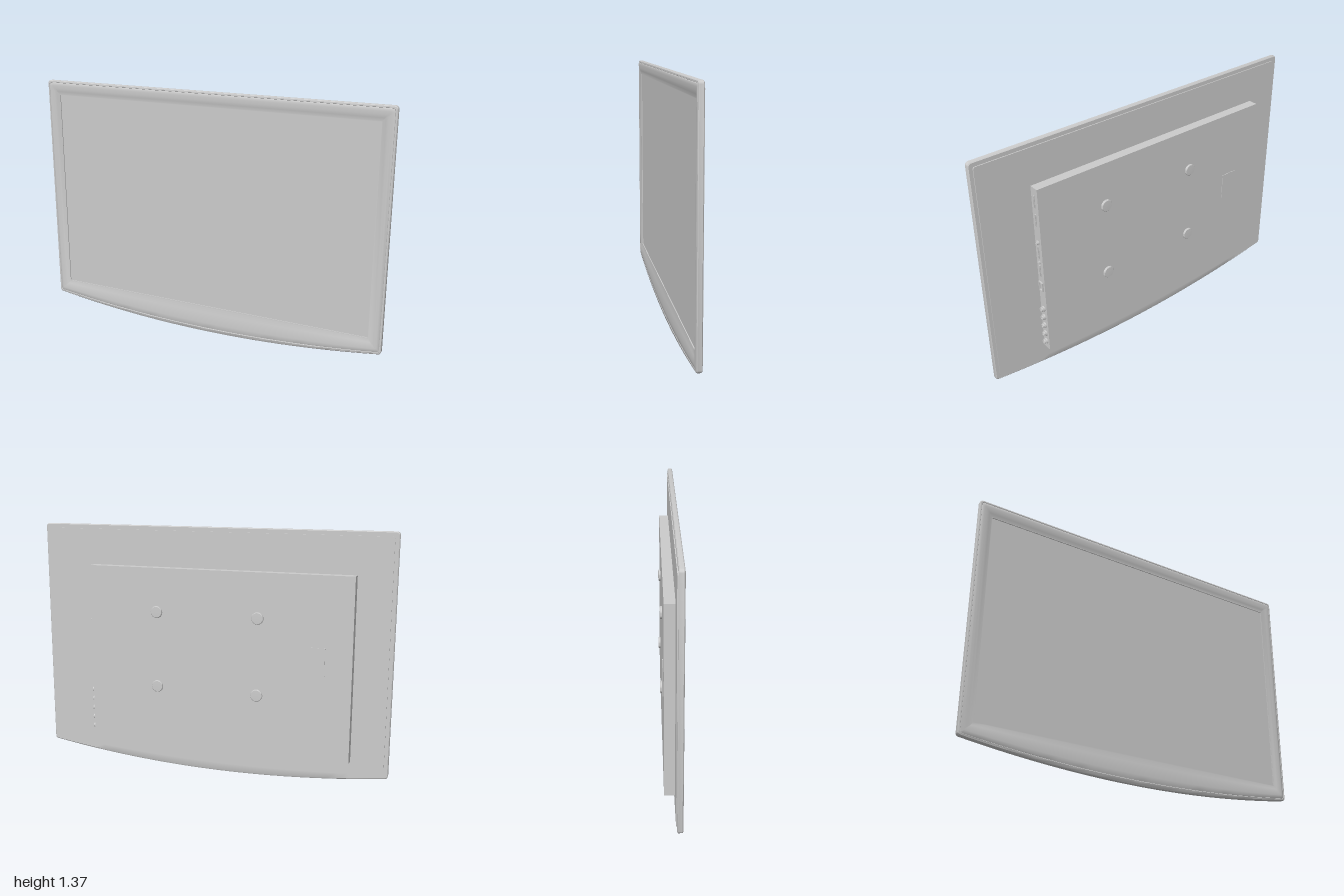
import * as THREE from 'three';
import { toCreasedNormals } from 'three/addons/utils/BufferGeometryUtils.js';

const grey = new THREE.MeshStandardMaterial({ color: 0xcccccc });

function add(parent, name, geometry, x = 0, y = 0, z = 0) {
  const mesh = new THREE.Mesh(geometry, grey);
  mesh.name = name;
  mesh.position.set(x, y, z);
  parent.add(mesh);
  return mesh;
}

// Pairs of matching points on the outer outline (bowed bottom) and the screen opening
function bezelOutline() {
  const pairs = [], r = 0.016, n = 32;
  const corner = (cx, cy, start, ix, iy) => {
    for (let i = 0; i <= 3; i++) {
      const a = start + (i / 3) * Math.PI / 2;
      pairs.push([cx + r * Math.cos(a), cy + r * Math.sin(a), ix, iy]);
    }
  };
  const L = 1 - r, low = 0.072;
  corner(-L, low + r, Math.PI, -0.925, 0.153);
  for (let i = 1; i < n; i++) {
    const u = -1 + (2 * i) / n;
    pairs.push([u * L, low * u * u, u * 0.925, 0.153]);
  }
  corner(L, low + r, -Math.PI / 2, 0.925, 0.153);
  corner(L, 1.372 - r, 0, 0.925, 1.29);
  corner(-L, 1.372 - r, Math.PI / 2, -0.925, 1.29);
  return pairs;
}

// Loft of rings: t runs from the outer edge (0) to the opening (1)
function bezelGeometry() {
  const profile = [
    [1, 0.015], [0.3, 0.015], [0.3, 0.02], [0.05, 0.02], [0, 0.024],
    [0, 0.044], [0.04, 0.048], [0.13, 0.049], [0.15, 0.047], [0.18, 0.049],
    [0.35, 0.05], [0.55, 0.049], [0.75, 0.046], [0.95, 0.041], [1, 0.041], [1, 0.034],
  ];
  const outline = bezelOutline(), n = outline.length;
  const positions = [], index = [];
  for (const [t, z] of profile) {
    for (const [ox, oy, ix, iy] of outline) {
      positions.push(ox + (ix - ox) * t, oy + (iy - oy) * t, z);
    }
  }
  for (let k = 0; k < profile.length - 1; k++) {
    for (let j = 0; j < n; j++) {
      const a = k * n + j, b = k * n + (j + 1) % n;
      index.push(a, b, b + n, a, b + n, a + n);
    }
  }
  const geometry = new THREE.BufferGeometry();
  geometry.setAttribute('position', new THREE.Float32BufferAttribute(positions, 3));
  geometry.setIndex(index);
  return toCreasedNormals(geometry, 0.6);
}

// Hollow round socket whose axis points along +x
function socketGeometry(radius, depth) {
  const points = [[radius, 0], [radius, depth * 0.5], [radius * 0.75, depth * 0.5],
    [radius * 0.75, depth], [radius * 0.4, depth], [radius * 0.4, 0.001], [0, 0.001]];
  const lathe = new THREE.LatheGeometry(points.map(([x, y]) => new THREE.Vector2(x, y)), 20);
  return toCreasedNormals(lathe.rotateZ(-Math.PI / 2), 0.6);
}

// Rectangular port frame facing +x
function framedPortGeometry(width, height, wall, depth) {
  const rect = (Type, w, h) => new Type([[-w, -h], [w, -h], [w, h], [-w, h]]
    .map(([x, y]) => new THREE.Vector2(x / 2, y / 2)));
  const shape = rect(THREE.Shape, width, height);
  shape.holes.push(rect(THREE.Path, width - 2 * wall, height - 2 * wall));
  return new THREE.ExtrudeGeometry(shape, { depth, bevelEnabled: false }).rotateY(Math.PI / 2);
}

export function createModel() {
  const model = new THREE.Group();
  model.name = 'flatScreenTelevision';

  // Front frame, screen and flat rear cover
  add(model, 'bezel', bezelGeometry());
  add(model, 'screen', new THREE.PlaneGeometry(1.85, 1.137), 0, 0.7215, 0.036);
  add(model, 'rearCover', new THREE.PlaneGeometry(1.85, 1.137).rotateY(Math.PI), 0, 0.7215, 0.015);

  // Electronics housing
  add(model, 'rearHousing', new THREE.BoxGeometry(1.495, 0.996, 0.054), -0.0525, 0.65, -0.011);

  // Wall mount bosses
  const bossProfile = [[0, 0], [0.033, 0], [0.033, 0.009], [0.03, 0.012], [0, 0.013]]
    .map(([x, y]) => new THREE.Vector2(x, y));
  const boss = toCreasedNormals(new THREE.LatheGeometry(bossProfile, 28).rotateX(-Math.PI / 2), 0.6);
  for (const x of [-0.29, 0.29]) {
    for (const y of [0.482, 0.904]) add(model, 'mountBoss', boss, x, y, -0.037);
  }

  // Power inlet plate
  add(model, 'powerInlet', new THREE.BoxGeometry(0.1, 0.15, 0.008), -0.607, 0.693, -0.037);

  // Connectors along the housing's left edge
  const ports = new THREE.Group();
  ports.name = 'sidePorts';
  ports.position.set(0.695, 0, -0.01);
  model.add(ports);
  for (const y of [1.07, 0.965, 0.775, 0.66]) {
    add(ports, 'slotPort', framedPortGeometry(0.009, 0.07, 0.0025, 0.004), 0, y, 0);
  }
  add(ports, 'networkPort', framedPortGeometry(0.034, 0.054, 0.006, 0.008), 0, 0.565, 0);
  add(ports, 'networkPortCore', new THREE.BoxGeometry(0.004, 0.03, 0.016), 0.002, 0.565, 0);
  add(ports, 'audioJack', socketGeometry(0.012, 0.012), 0, 0.835, 0);
  add(ports, 'smallJack', socketGeometry(0.008, 0.008), 0, 0.717, 0);
  for (let i = 0; i < 5; i++) {
    add(ports, 'roundSocket', socketGeometry(0.016, 0.018), 0, 0.198 + i * 0.055, 0);
  }
  return model;
}
